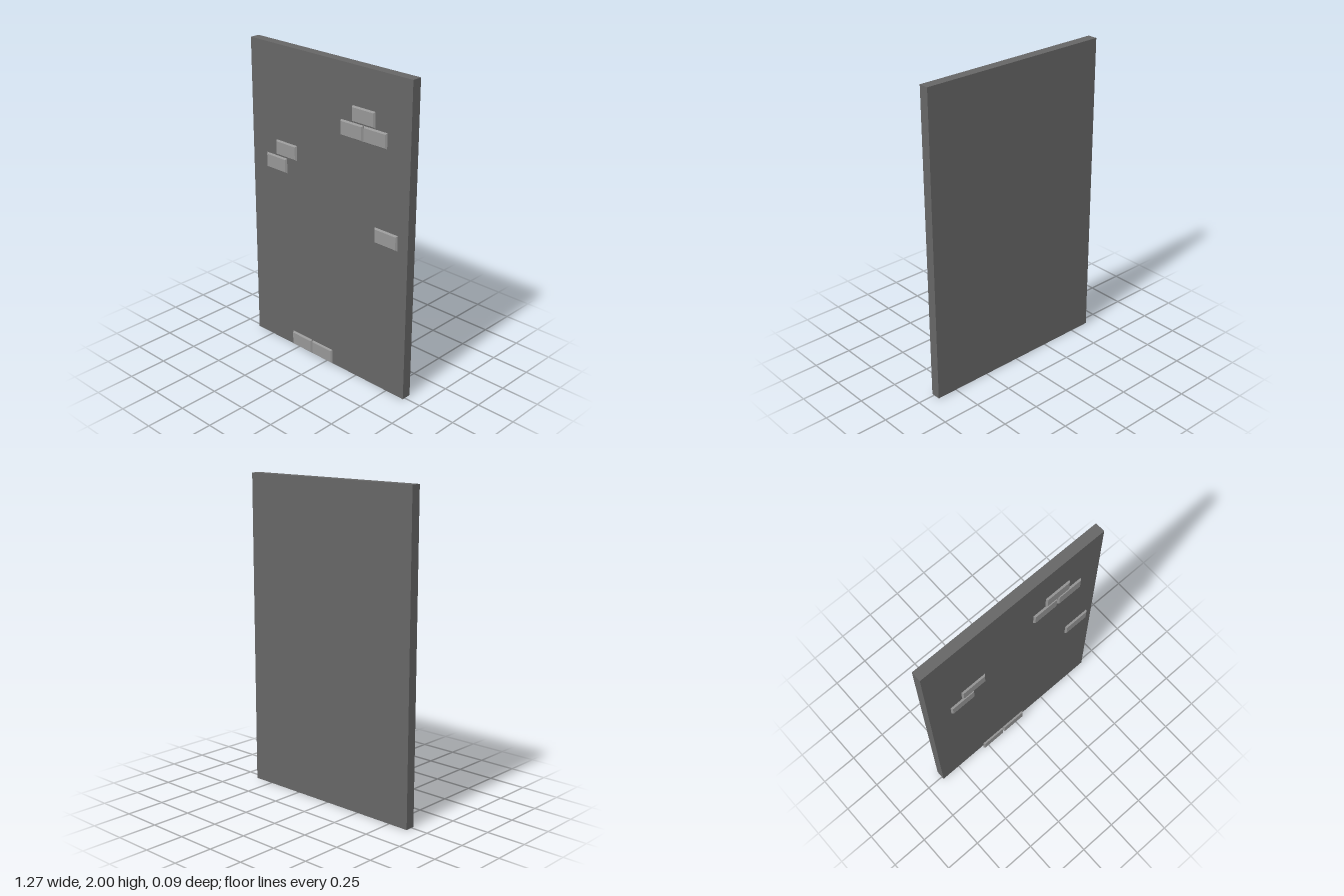
import * as THREE from 'three';

const WALL = { width: 1.27, height: 2, back: -0.045, front: 0.018 };
const BRICK = { width: 0.174, height: 0.097, back: 0.034, front: 0.045, bevel: 0.008 };

// Brick centres on the wall face
const BRICKS = [
  [0.301, 1.72], [0.213, 1.618], [0.391, 1.618], // upper cluster
  [-0.322, 1.358], [-0.408, 1.254],              // stepped pair
  [0.485, 1.025],                                // single brick
  [-0.202, 0.063], [-0.024, 0.063],              // bottom pair
];

// Thin slab whose front face is inset to form sloping edges
function brickGeometry() {
  const { width, height, back, front, bevel } = BRICK;
  const geometry = new THREE.BoxGeometry(width, height, front - back).toNonIndexed();
  const p = geometry.attributes.position;
  for (let i = 0; i < p.count; i++) {
    if (p.getZ(i) > 0) {
      p.setX(i, p.getX(i) - Math.sign(p.getX(i)) * bevel);
      p.setY(i, p.getY(i) - Math.sign(p.getY(i)) * bevel);
    }
  }
  geometry.computeVertexNormals();
  return geometry;
}

export function createModel() {
  const group = new THREE.Group();
  group.name = 'brickWallPanel';

  // Flat wall slab
  const wall = new THREE.Mesh(
    new THREE.BoxGeometry(WALL.width, WALL.height, WALL.front - WALL.back),
    new THREE.MeshStandardMaterial({ color: 0x666666 })
  );
  wall.name = 'wall';
  wall.position.set(0, WALL.height / 2, (WALL.front + WALL.back) / 2);
  group.add(wall);

  // Exposed bricks, held just in front of the wall
  const geometry = brickGeometry();
  const material = new THREE.MeshStandardMaterial({ color: 0x969696, flatShading: true });
  const bricks = new THREE.Group();
  bricks.name = 'bricks';
  BRICKS.forEach(([x, y], i) => {
    const brick = new THREE.Mesh(geometry, material);
    brick.name = `brick${i + 1}`;
    brick.position.set(x, y, (BRICK.front + BRICK.back) / 2);
    bricks.add(brick);
  });
  group.add(bricks);

  return group;
}
